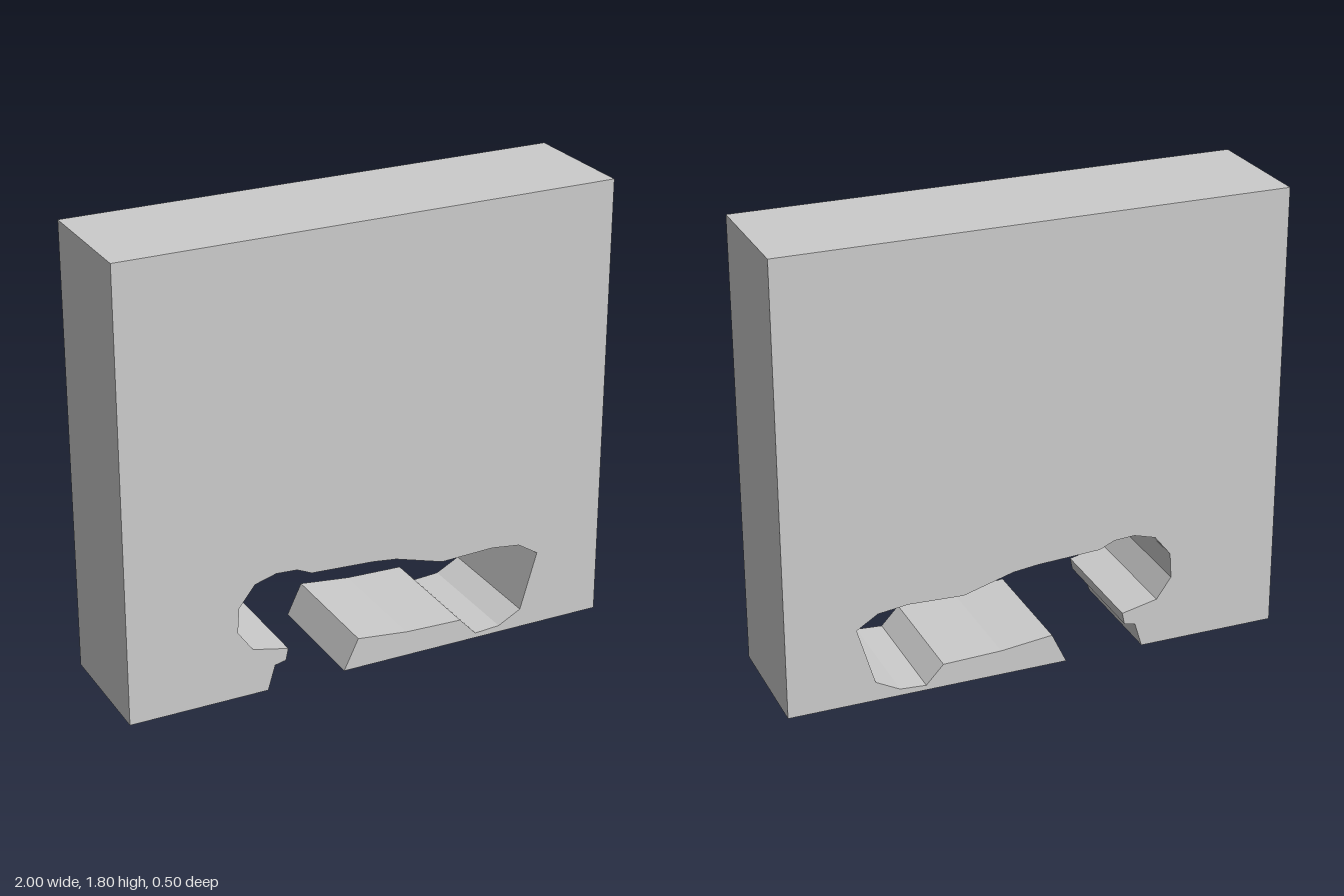
import * as THREE from 'three';

const DEPTH = 0.5;

// Cavity edge, from the left lip of the floor slot round to its right lip
const cavity = [
  [-0.44, 0], [-0.41, 0.1], [-0.365, 0.11], [-0.355, 0.158], [-0.5, 0.19],
  [-0.56, 0.275], [-0.553, 0.377], [-0.487, 0.46], [-0.4, 0.485], [-0.315, 0.48],
  [-0.255, 0.453], [0, 0.44], [0.1, 0.428], [0.3, 0.37], [0.52, 0.378],
  [0.64, 0.363], [0.724, 0.31], [0.655, 0.077], [0.56, 0.027], [0.455, 0.02],
  [0.385, 0.095], [0.15, 0.102], [-0.06, 0.125], [-0.12, 0],
];

export function createModel() {
  const group = new THREE.Group();
  group.name = 'slottedBlock';

  // Rectangular outline, with the cavity opening through the bottom edge
  const outline = [[1, 0], [1, 1.8], [-1, 1.8], [-1, 0], ...cavity];
  const shape = new THREE.Shape(outline.map(([x, y]) => new THREE.Vector2(x, y)));

  const geometry = new THREE.ExtrudeGeometry(shape, { depth: DEPTH, bevelEnabled: false });
  geometry.translate(0, 0, -DEPTH / 2);

  const block = new THREE.Mesh(
    geometry,
    new THREE.MeshStandardMaterial({ color: 0xcccccc, flatShading: true }),
  );
  block.name = 'blockWithCavity';
  group.add(block);
  return group;
}
